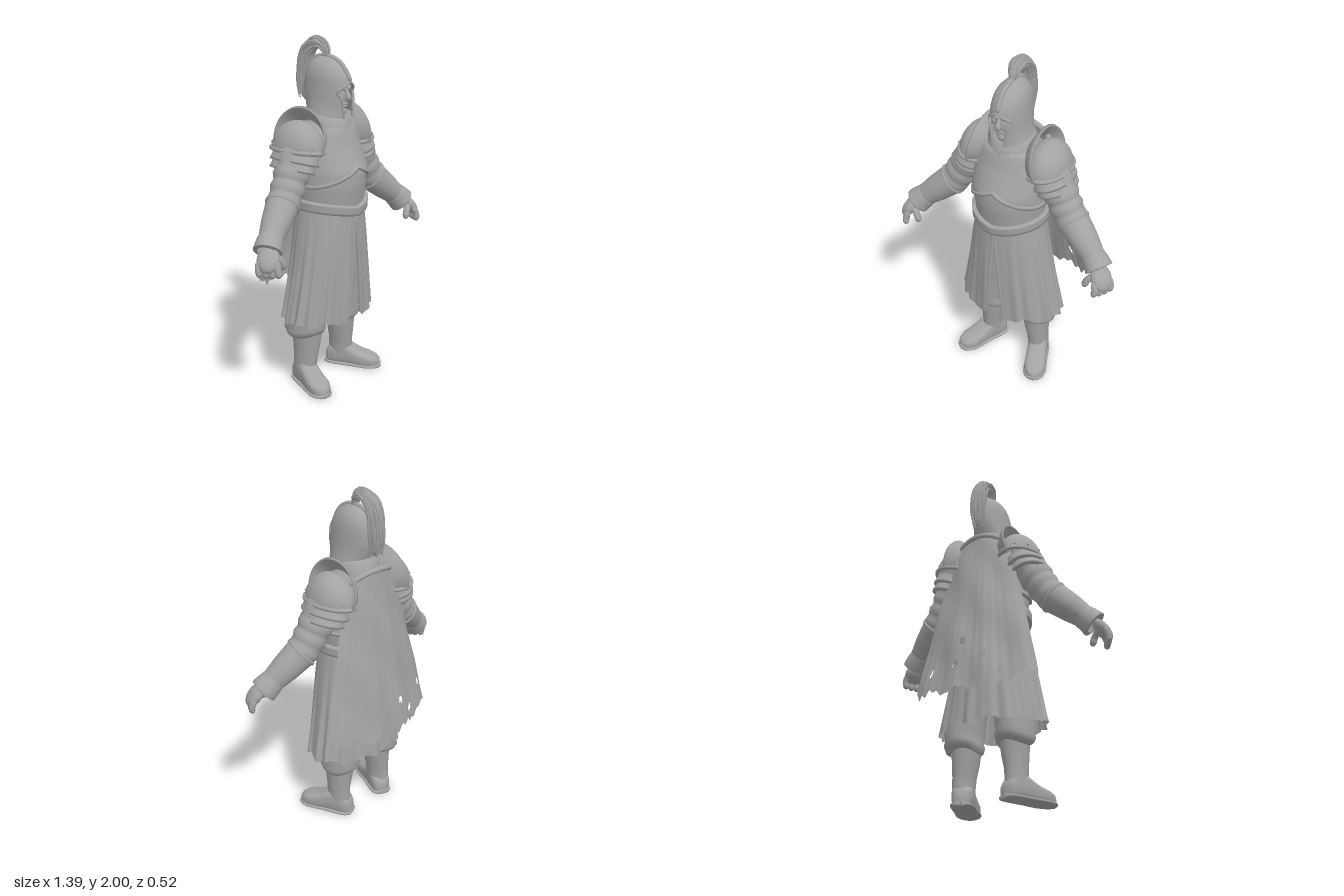
import * as THREE from 'three';
import { mergeGeometries } from 'three/addons/utils/BufferGeometryUtils.js';

const V = (x, y, z) => new THREE.Vector3(x, y, z);
const { lerp, clamp } = THREE.MathUtils;

// linear lookup in rows of [key, ...values]
function at(rows, k) {
  let i = 0;
  while (i < rows.length - 2 && k > rows[i + 1][0]) i++;
  const a = rows[i], b = rows[i + 1], t = clamp((k - a[0]) / (b[0] - a[0]), 0, 1);
  return a.slice(1).map((v, j) => lerp(v, b[j + 1], t));
}

// skin a list of point rings
function loft(rings, closed = true, keep = () => true) {
  const n = rings[0].length, idx = [];
  for (let i = 0; i < rings.length - 1; i++)
    for (let j = 0; j < (closed ? n : n - 1); j++) {
      if (!keep(i, j)) continue;
      const a = i * n + j, b = i * n + (j + 1) % n;
      idx.push(a, b, a + n, b, b + n, a + n);
    }
  const g = new THREE.BufferGeometry().setFromPoints(rings.flat());
  g.setIndex(idx);
  g.computeVertexNormals();
  return g;
}

// elliptical shell around y; rows are [y, rx, rz, cx, cz], bottom to top
function wrap(rows, { lo = rows[0][0], hi = rows[rows.length - 1][0], off = 0, n = 48, m = 0, gap, fold } = {}) {
  const f = (v, th) => (typeof v === 'function' ? v(th) : v);
  const y0 = rows[0][0], y1 = rows[rows.length - 1][0];
  const ts = m ? Array.from({ length: m + 1 }, (_, i) => [i / m, off]) : rows.map(r => [(r[0] - y0) / (y1 - y0), off]);
  if (off) { ts.unshift([0, 0]); ts.push([1, 0]); }
  const rings = ts.map(([t, o]) => {
    const ym = lerp(f(lo, 0), f(hi, 0), t);
    const t0 = gap ? Math.asin(Math.min(1, gap(ym) / Math.max(at(rows, ym)[0], 1e-4))) : 0;
    return Array.from({ length: gap ? n + 1 : n }, (_, j) => {
      const th = lerp(t0, 2 * Math.PI - t0, j / n), y = lerp(f(lo, th), f(hi, th), t);
      const [rx, rz, cx, cz] = at(rows, y);
      const p = V(cx + (rx + o) * Math.sin(th), y, cz + (rz + o) * Math.cos(th));
      if (fold) fold(p, th, t);
      return p;
    });
  });
  return loft(rings, !gap);
}

// tapered tube along points; keys are [t, radius]
function limb(pts, keys, { sides = 14, n = 14, ref = V(0, 0, 1) } = {}) {
  const c = new THREE.CatmullRomCurve3(pts.map(p => V(...p)));
  const ts = [...new Set([...keys.map(k => k[0]), ...Array.from({ length: n + 1 }, (_, i) => i / n)])].sort((a, b) => a - b);
  return loft(ts.map(t => {
    const P = c.getPointAt(t), T = c.getTangentAt(t), r = at(keys, t)[0];
    const N = ref.clone().addScaledVector(T, -T.dot(ref)).normalize(), B = T.clone().cross(N);
    return Array.from({ length: sides }, (_, j) => {
      const a = j / sides * 2 * Math.PI;
      return P.clone().addScaledVector(N, r * Math.cos(a)).addScaledVector(B, r * Math.sin(a));
    });
  }));
}

const ball = (x, y, z, rx, ry = rx, rz = rx, s = 16) => new THREE.SphereGeometry(1, s, s).scale(rx, ry, rz).translate(x, y, z);
const round = (r, e = 0.12) => [[0, 0], [e * 0.25, r * 0.65], [e, r], [1 - e, r], [1 - e * 0.25, r * 0.65], [1, 0]];

function mirror(geo) {
  const g = geo.clone().scale(-1, 1, 1), ix = g.index.array;
  for (let i = 0; i < ix.length; i += 3) [ix[i], ix[i + 1]] = [ix[i + 1], ix[i]];
  return g;
}

export function createModel() {
  const model = new THREE.Group();
  const grey = new THREE.MeshStandardMaterial({ color: 0xa3a3a3, side: THREE.DoubleSide });
  grey.name = 'stone grey';
  const add = (name, geo) => { const m = new THREE.Mesh(geo, grey); m.name = name; model.add(m); };
  const pair = (name, geo) => { add(name + 'Left', geo); add(name + 'Right', mirror(geo)); };
  let seed = 7;
  const rnd = () => (seed = (seed * 16807) % 2147483647) / 2147483647;

  // torso, breastplate with chevron edge, belt
  const torso = [[1.03, .2, .185, 0, .05], [1.1, .198, .185, 0, .055], [1.2, .203, .19, 0, .06], [1.28, .2, .187, 0, .06],
    [1.34, .198, .17, 0, .05], [1.42, .195, .15, 0, .035], [1.5, .17, .13, 0, .03], [1.55, .13, .11, 0, .02], [1.6, .07, .075, 0, .025]];
  const chevron = th => (Math.cos(th) > 0 ? 1.305 - .1 * Math.abs(Math.sin(th)) : 1.205);
  const beltTop = th => (Math.cos(th) > 0 ? 1.085 + .04 * Math.abs(Math.sin(th)) : 1.125);
  add('torso', wrap(torso, { lo: 1.03, hi: 1.6, m: 24 }));
  add('breastplate', wrap(torso, { lo: chevron, hi: 1.52, off: .012, m: 18, n: 64 }));
  add('breastplateRim', wrap(torso, { lo: th => chevron(th) - .006, hi: th => chevron(th) + .014, off: .019, m: 2, n: 64 }));
  add('belt', wrap(torso, { lo: th => beltTop(th) - .055, hi: beltTop, off: .022, m: 4, n: 64 }));

  // gorget with rivets
  const collar = [[1.47, .142, .142, 0, .03], [1.48, .146, .146, 0, .03], [1.52, .132, .134, 0, .03], [1.565, .118, .12, 0, .03], [1.57, .1, .1, 0, .03]];
  add('gorget', wrap(collar, { fold: (p, th) => { p.y += .02 * (1 - Math.cos(th)); } }));
  add('gorgetRivets', mergeGeometries([-1.2, -.8, -.4, 0, .4, .8, 1.2].map(a =>
    ball(.14 * Math.sin(a), 1.5 + .02 * (1 - Math.cos(a)), .03 + .141 * Math.cos(a), .006, .006, .006, 8))));

  // pleated skirt, split at the front
  const skirt = [[.42, .318, .208, 0, .035], [.7, .265, .2, 0, .045], [.9, .233, .193, 0, .05], [1.08, .2, .187, 0, .05]];
  const split = y => .002 + .055 * clamp((1.05 - y) / .63, 0, 1);
  const pleat = (p, th, t) => {
    const k = 1 + .045 * (1 - t) * (Math.sin(th * 17) * .6 + Math.sin(th * 27 + 1) * .4);
    p.x *= k; p.z = .04 + (p.z - .04) * k;
    if (t === 0) p.y += .012 * Math.sin(th * 9 + 2);
  };
  add('skirt', wrap(skirt, { lo: .42, hi: 1.08, m: 16, n: 160, gap: split, fold: pleat }));
  const edge = [.425, .6, .8, 1.03].map(y => { const [rx, rz, , cz] = at(skirt, y), x = split(y); return [x, y, cz - .003 + rz * Math.sqrt(1 - (x / rx) ** 2)]; });
  pair('skirtEdge', limb(edge, round(.009, .02), { sides: 8 }));
  add('hips', ball(0, .95, .045, .175, .15, .14));

  // baggy trousers and boots
  pair('trouser', wrap([[.305, .078, .088, .155, .005], [.32, .1, .112, .158, 0], [.35, .106, .13, .16, 0], [.38, .098, .122, .16, 0],
    [.41, .104, .132, .16, 0], [.45, .102, .13, .155, 0], [.6, .108, .13, .14, .01], [.8, .115, .13, .1, .03], [.92, .1, .12, .09, .04]],
    { n: 32, fold: (p, th, t) => { p.y += .012 * Math.sin(th * 2 + 1) * (1 - t); } }));
  pair('bootShaft', wrap([[.06, .058, .07, .165, -.002], [.13, .06, .074, .163, .004], [.17, .062, .075, .162, .006], [.25, .072, .085, .155, .008],
    [.31, .079, .09, .153, .008], [.335, .08, .092, .153, .008]], { n: 28 }));
  const foot = (secs, grow, hgt) => loft(secs.map(([d, w, h]) => Array.from({ length: 24 }, (_, j) => {
    const a = j / 24 * 2 * Math.PI, c = Math.cos(a), s = Math.sin(a), q = v => Math.sign(v) * Math.abs(v) ** .65;
    const H = hgt || h;
    return V((w + grow * (w > .01)) * q(c), H / 2 + H / 2 * q(s), d + grow * Math.sign(d));
  }))).rotateY(.39).translate(.165, 0, 0);
  const secs = [[-.082, .002, .04], [-.08, .035, .08], [-.06, .053, .11], [-.02, .06, .135], [.04, .06, .145], [.08, .06, .12],
    [.13, .064, .095], [.18, .065, .082], [.22, .052, .068], [.242, .032, .055], [.25, .002, .03]];
  pair('bootFoot', foot(secs, 0));
  pair('bootSole', foot(secs, .006, .022));

  // sleeves, bracers and gloves
  pair('sleeve', limb([[.19, 1.48, 0], [.265, 1.35, .02], [.33, 1.23, .032], [.39, 1.145, .045], [.44, 1.1, .06]],
    [[0, .09], [.25, .1], [.42, .094], [.5, .1], [.57, .088], [.65, .097], [.73, .087], [.82, .092], [1, .07]], { sides: 20, n: 20 }));
  pair('bracer', limb([[.385, 1.15, .043], [.49, 1.06, .08], [.575, .985, .113]],
    [[0, .08], [.005, .096], [.06, .096], [.07, .09], [.5, .08], [.85, .066], [1, .066]], { sides: 20 }));
  pair('gloveCuff', limb([[.54, 1.015, .1], [.575, .982, .113], [.6, .955, .125]],
    [[0, .064], [.05, .068], [.8, .077], [.97, .078], [1, .055]], { sides: 20 }));
  const along = V(.06, -.09, .045).normalize(), row = V(-.05, 0, .1).normalize();
  const flat = along.clone().cross(row).normalize(), across = flat.clone().cross(along);
  pair('palm', new THREE.SphereGeometry(1, 18, 14).scale(.062, .075, .036)
    .applyMatrix4(new THREE.Matrix4().makeBasis(across, along, across.clone().cross(along))).translate(.63, .93, .158));
  const fingers = [0, 1, 2, 3].map(i => limb([[.658 - .016 * i, .925, .122 + .028 * i], [.677 - .017 * i, .88, .132 + .029 * i],
    [.67 - .017 * i, .832 + .005 * Math.abs(i - 1.5), .138 + .029 * i]], round(.0185, .2), { sides: 10 }));
  fingers.push(limb([[.605, .95, .17], [.565, .91, .19], [.547, .862, .195]], round(.02, .2), { sides: 10 }));
  pair('fingers', mergeGeometries(fingers));

  // pauldrons: dome, rim, raised neck guard, two lames
  pair('pauldron', new THREE.SphereGeometry(1, 32, 12, 0, 2 * Math.PI, 0, Math.PI / 2).scale(.116, .16, .162).rotateZ(.1).translate(.213, 1.408, 0));
  pair('pauldronRim', new THREE.TorusGeometry(1, .07, 8, 40).rotateX(Math.PI / 2).scale(.118, .17, .164).rotateZ(.1).translate(.213, 1.408, 0));
  [[.243, 1.365, .108, .146], [.262, 1.325, .104, .132]].forEach(([x, y, rx, rz], i) =>
    pair('shoulderLame' + (i + 1), wrap([[-.026, rx - .015, rz - .015, 0, 0], [-.024, rx + .004, rz + .004, 0, 0], [-.012, rx + .004, rz + .004, 0, 0],
      [-.01, rx, rz, 0, 0], [.03, rx - .01, rz - .01, 0, 0]]).rotateZ(.3).translate(x, y, .006)));
  const guard = Array.from({ length: 25 }, (_, i) => {
    const s = i / 12 - 1, a = s * 1.75, r1 = .16 + .055 * (1 - s * s), out = .045 * s * s;
    return [[.108, .135], [.122, .135], [.178, r1 - .008], [.18, r1], [.166, r1 + .004]].map(([x, r]) =>
      V(x + out, 1.42 + r * Math.cos(a), r * 1.02 * Math.sin(a)));
  });
  pair('neckGuard', loft(guard));
  pair('pauldronRivets', mergeGeometries([-1.2, -.6, 0, .6, 1.2].map(a =>
    ball(.213 + .118 * Math.cos(a), 1.435 + .01 * Math.cos(a), .16 * Math.sin(a), .006, .006, .006, 8))));

  // tattered cape with holes
  const N = 80, M = 64, holes = [[-.88, .86, .03, .03], [.1, .72, .035, .03], [.18, .86, .05, .02], [-.3, .84, .04, .022], [.7, .88, .035, .025], [-.55, .93, .03, .02]];
  const hem = u => .575 + .05 * u * u + .018 * Math.sin(u * 13) + .014 * Math.abs((u * 7.3 + 20) % 1 - .5) * 2 + .01 * Math.sin(u * 41);
  const capePoint = (u, v) => V(u * lerp(.165, .39, v ** .85), lerp(1.565 - .05 * u * u, hem(u), v),
    -.135 - .125 * v + (.05 + .06 * v) * u * u + .008 * v * Math.sin(u * 11 + v * 2) + .004 * Math.sin(u * 5 + v * 14));
  const us = Array.from({ length: N + 1 }, (_, j) => 1 - 2 * j / N);
  add('cape', loft(Array.from({ length: M + 1 }, (_, i) => us.map(u => capePoint(-u, 1 - i / M))), false, (i, j) =>
    !holes.some(([u, v, a, b]) => ((-us[j] - u) / a) ** 2 + ((1 - i / M - v) / b) ** 2 < 1)));
  add('capeCollar', limb([-1, -.5, 0, .5, 1].map(u => capePoint(u, 0).toArray()), round(.016, .08), { sides: 10 }));

  // head and face
  add('neck', new THREE.CylinderGeometry(.065, .075, .14, 20).translate(0, 1.58, .03));
  add('head', ball(0, 1.675, .06, .076, .112, .1, 24));
  add('nose', limb([[0, 1.73, .152], [0, 1.705, .17], [0, 1.68, .178], [0, 1.672, .16]], [[0, .009], [.4, .011], [.75, .018], [1, .006]]));
  add('lips', mergeGeometries([1.646, 1.635].map(y => limb([[-.026, y - .003, .143], [0, y, .161], [.026, y - .003, .143]], round(.007, .3), { sides: 8 }))));
  add('chin', ball(0, 1.6, .125, .034, .026, .03));
  pair('brow', limb([[.006, 1.722, .161], [.03, 1.733, .157], [.062, 1.735, .128]], round(.011, .25), { sides: 10 }));
  pair('eye', ball(.03, 1.711, .142, .013, .008, .01));
  pair('cheek', ball(.043, 1.682, .125, .024, .022, .022));

  // helmet with face opening, rim and ridge
  const helm = [[1.57, .117, .135, 0, .05], [1.6, .111, .138, 0, .046], [1.63, .106, .143, 0, .044], [1.66, .102, .148, 0, .042], [1.69, .1, .152, 0, .041],
    [1.72, .098, .155, 0, .04], [1.745, .096, .153, 0, .039], [1.77, .094, .149, 0, .037], [1.8, .09, .14, 0, .033], [1.83, .081, .124, 0, .03],
    [1.855, .067, .104, 0, .027], [1.875, .048, .076, 0, .024], [1.888, .026, .042, 0, .021], [1.893, 0, 0, 0, .02]];
  const open = [[1.57, .036], [1.62, .041], [1.68, .05], [1.7, .06], [1.72, .07], [1.77, 0], [1.9, 0]];
  add('helmet', wrap(helm, { n: 56, gap: y => at(open, y)[0], fold: (p, th) => {
    p.y += .025 * (1 - Math.cos(th)) * clamp((1.7 - p.y) / .13, 0, 1);
  } }));
  const rim = [1.574, 1.62, 1.66, 1.69, 1.715, 1.73, 1.75, 1.768].map(y => {
    const [rx, rz, , cz] = at(helm, y), w = at(open, y)[0];
    return [w, y, cz + rz * Math.sqrt(1 - (w / rx) ** 2)];
  });
  pair('helmetRim', limb(rim, round(.007, .03), { sides: 8, n: 28 }));
  const ridge = [...helm.slice(7).map(([y, , rz, , cz]) => [0, y, cz + rz]), ...helm.slice(7, -1).reverse().map(([y, , rz, , cz]) => [0, y, cz - rz])];
  add('helmetRidge', limb(ridge, round(.014, .04), { sides: 10, n: 32, ref: V(1, 0, 0) }));

  // plume: core and loose strands
  const spine = new THREE.CatmullRomCurve3([V(0, 1.88, .035), V(0, 1.935, .025), V(0, 1.963, -.03), V(0, 1.925, -.1), V(0, 1.8, -.13), V(0, 1.635, -.13)]);
  const spread = [[0, .012], [.2, .028], [.45, .036], [.75, .036], [1, .024]];
  add('plumeCore', limb(spine.points.map(p => p.toArray()), [[0, .014], [.2, .024], [.5, .034], [.8, .032], [.95, .018], [1, 0]], { n: 20, ref: V(1, 0, 0) }));
  const strands = Array.from({ length: 110 }, () => {
    const a = rnd() * 2 * Math.PI, k = .75 + .35 * rnd(), t0 = rnd() * .5, t1 = Math.min(1, t0 + .3 + .4 * rnd()), twist = rnd() - .5;
    const pts = [0, .25, .5, .75, 1].map(s => {
      const t = lerp(t0, t1, s), P = spine.getPointAt(t), T = spine.getTangentAt(t), r = at(spread, t)[0] * (k + .22 * s * s), b = a + twist * s;
      return [r * 1.15 * Math.cos(b), P.y - T.z * r * Math.sin(b) * .9, P.z + T.y * r * Math.sin(b) * .9];
    });
    return limb(pts, [[0, .003], [.3, .0075], [.7, .006], [1, 0]], { sides: 5, n: 8, ref: V(1, 0, 0) });
  });
  add('plumeStrands', mergeGeometries(strands));

  return model;
}
